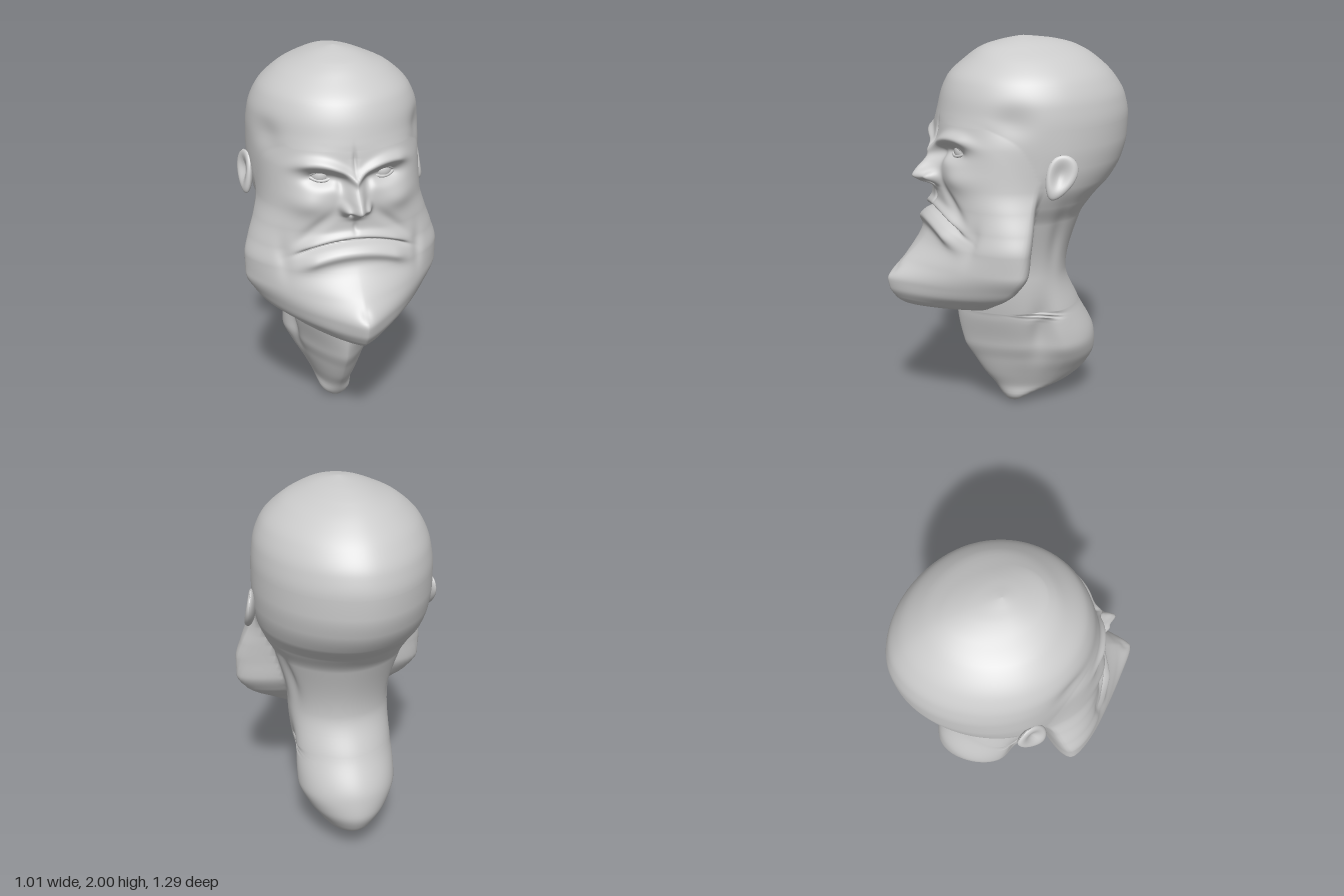
import * as THREE from 'three';

const material = new THREE.MeshStandardMaterial({ color: 0xcccccc });

// Smooth monotone interpolation through rows [y, a, b, ...]
function curve(rows, y) {
  let i = 0;
  while (i < rows.length - 2 && y > rows[i + 1][0]) i++;
  const slope = (n, k) => (rows[n + 1][k] - rows[n][k]) / (rows[n + 1][0] - rows[n][0]);
  const tangent = (n, k) => {
    if (n === 0 || n === rows.length - 1) return slope(Math.min(n, rows.length - 2), k);
    const a = slope(n - 1, k), b = slope(n, k);
    return a * b <= 0 ? 0 : (2 * a * b) / (a + b);
  };
  const h = rows[i + 1][0] - rows[i][0];
  const t = THREE.MathUtils.clamp((y - rows[i][0]) / h, 0, 1), t2 = t * t, t3 = t2 * t;
  return rows[i].slice(1).map((v, k) =>
    v * (2 * t3 - 3 * t2 + 1) + rows[i + 1][k + 1] * (3 * t2 - 2 * t3) +
    h * (tangent(i, k + 1) * (t3 - 2 * t2 + t) + tangent(i + 1, k + 1) * (t3 - t2)));
}

// Cross-sections: y, front z, back z, half width, z of widest point
const skullAndNeck = [
  [0, -0.01, -0.05, 0.02, -0.03], [0.05, 0.03, -0.14, 0.08, -0.05],
  [0.12, 0.07, -0.36, 0.115, -0.18], [0.2, 0.13, -0.46, 0.16, -0.22],
  [0.3, 0.19, -0.5, 0.22, -0.24], [0.4, 0.245, -0.49, 0.26, -0.22],
  [0.6, 0.28, -0.39, 0.265, -0.13], [0.8, 0.28, -0.31, 0.265, -0.08],
  [1.1, 0.28, -0.385, 0.33, -0.08], [1.2, 0.28, -0.455, 0.38, -0.08],
  [1.3, 0.28, -0.555, 0.42, -0.1], [1.4, 0.3, -0.612, 0.437, -0.12],
  [1.5, 0.335, -0.636, 0.442, -0.13], [1.6, 0.362, -0.64, 0.44, -0.13],
  [1.7, 0.345, -0.62, 0.428, -0.12], [1.8, 0.305, -0.56, 0.388, -0.11],
  [1.9, 0.2, -0.45, 0.285, -0.1], [1.95, 0.13, -0.36, 0.18, -0.09],
  [1.98, 0.03, -0.25, 0.1, -0.08], [2, -0.07, -0.09, 0.01, -0.08],
];
const faceAndJaw = [
  [0.62, 0.27, 0.1, 0.12, 0.2], [0.64, 0.5, 0.15, 0.19, 0.22],
  [0.66, 0.565, 0.14, 0.25, 0.22], [0.7, 0.61, 0.12, 0.32, 0.2],
  [0.75, 0.63, 0.08, 0.4, 0.17], [0.8, 0.63, 0.04, 0.45, 0.14],
  [0.9, 0.555, -0.01, 0.505, 0.11], [1, 0.46, -0.02, 0.505, 0.1],
  [1.1, 0.405, -0.03, 0.48, 0.07], [1.2, 0.385, -0.04, 0.445, 0.04],
  [1.3, 0.385, -0.06, 0.42, 0], [1.5, 0.38, -0.2, 0.41, -0.05],
  [1.6, 0.362, -0.3, 0.4, -0.1], [1.8, 0.15, -0.3, 0.25, -0.1],
  [2, -0.079, -0.081, 0.001, -0.08],
];
// Point from which each ring is swept
const axis = [[0, -0.03], [0.1, -0.1], [0.3, -0.15], [0.55, -0.05], [0.62, 0.2], [0.7, 0.22],
  [0.8, 0.15], [0.9, 0.08], [1.2, 0], [1.4, -0.05], [1.6, -0.1], [2, -0.08]];

// Distance from the axis to a cross-section's edge along one direction
function reach([front, back, w, c], z0, sin, cos, frontPower, backPower) {
  let lo = 0, hi = 1;
  for (let i = 0; i < 24; i++) {
    const r = (lo + hi) / 2, z = z0 + r * cos - c;
    const e = z > 0 ? frontPower : backPower, d = z > 0 ? front - c : c - back;
    if (Math.abs(r * sin / w) ** e + Math.abs(z / d) ** e < 1) lo = r; else hi = r;
  }
  return lo;
}

const bell = (d, s) => Math.exp(-((d / s) ** 2));
const spot = (x, y, cx, cy, sx, sy) => bell(x - cx, sx) * bell(y - cy, sy);
const noseProfile = [[1.2, 0], [1.245, 0.004], [1.275, 0.025], [1.3, 0.085], [1.33, 0.125],
  [1.36, 0.108], [1.4, 0.068], [1.45, 0.026], [1.5, 0.008], [1.56, 0]];

// Forward relief of the face; x is mirrored
function faceRelief(x, y) {
  let d = 0;
  // nose, wings and nostrils
  d += curve(noseProfile, y)[0] * bell(x, 0.034 + 0.09 * Math.max(0, 1.45 - y));
  d += 0.045 * spot(x, y, 0.055, 1.325, 0.02, 0.026) - 0.04 * spot(x, y, 0.027, 1.296, 0.013, 0.012);
  // arched brows, frown crease and eye sockets
  const browY = 1.538 - 2.2 * (x - 0.19) ** 2;
  d += 0.026 * bell(y - browY, 0.027) * bell(Math.max(0, x - 0.22), 0.06);
  d -= 0.014 * spot(x, y, 0, 1.55, 0.009, 0.045);
  d -= 0.05 * spot(x, y, 0.155, 1.462, 0.085, 0.036);
  d -= 0.018 * spot(x, y, 0.065, 1.44, 0.025, 0.04);
  // cheekbones and the folds beside the mouth
  d += 0.025 * spot(x, y, 0.23, 1.34, 0.09, 0.06);
  const foldX = 0.09 + (1.32 - y) * 0.95;
  d -= 0.014 * bell(x - foldX, 0.04) * bell(y - 1.22, 0.08);
  d -= 0.015 * spot(x, y, 0.34, 1.05, 0.03, 0.09);
  // down-turned mouth: thin upper lip, crease and full lower lip
  const mouthY = 1.15 - 0.065 * (x / 0.27) ** 2, ends = bell(Math.max(0, x - 0.19), 0.08);
  d += ends * (0.02 * bell(y - mouthY - 0.025, 0.024) - 0.03 * bell(y - mouthY, 0.011)
    + 0.042 * bell(y - mouthY + 0.05, 0.038));
  d -= 0.01 * spot(x, y, 0, 1.22, 0.012, 0.03);
  // chin knob with its dimple
  d += 0.022 * spot(x, y, 0, 0.81, 0.1, 0.08) - 0.014 * spot(x, y, 0, 0.85, 0.025, 0.025);
  return d;
}

// Whole head and neck as one skin
function headGeometry() {
  const spans = [[0, 0.6, 34], [0.6, 0.7, 28], [0.7, 1, 30], [1, 1.6, 120], [1.6, 1.95, 24], [1.95, 2, 14]];
  const ys = [0];
  for (const [a, b, n] of spans) for (let i = 1; i <= n; i++) ys.push(a + (b - a) * i / n);
  const sides = 192, position = [], index = [];
  ys.forEach((y, row) => {
    const inner = curve(skullAndNeck, y), outer = curve(faceAndJaw, y), z0 = curve(axis, y)[0];
    // narrow throat and pointed chin, rounder towards the face
    const throatPower = 2 - 0.6 * bell(y - 0.38, 0.25);
    const jawPower = 1.25 + THREE.MathUtils.smoothstep(y, 0.78, 1.3);
    const blend = 0.03 + 0.06 * bell(y - 1, 0.2);
    const closed = row === 0 || row === ys.length - 1;
    for (let j = 0; j < sides; j++) {
      const u = (j / sides) * Math.PI * 2 - Math.PI, angle = u - 0.5 * Math.sin(u);
      const sin = Math.sin(angle), cos = Math.cos(angle);
      const a = reach(inner, z0, sin, cos, throatPower, 1.85);
      const b = y < 0.62 ? 0 : reach(outer, z0, sin, cos, jawPower, 2.1);
      const h = Math.max(blend - Math.abs(a - b), 0) / blend;
      const r = closed ? 0 : Math.max(a, b) + h * h * blend * 0.15;
      let x = r * sin, z = z0 + r * cos;
      // temple hollows and neck grooves
      x *= 1 - 0.05 * spot(z, y, 0.12, 1.63, 0.09, 0.07) - 0.15 * spot(z, y, -0.1, 0.48, 0.06, 0.17)
        - 0.07 * spot(z, y, -0.16, 1, 0.04, 0.15);
      if (cos > 0 && y > 0.66) z += faceRelief(Math.abs(x), y) * Math.min(1, cos * 2);
      position.push(x, y, z);
      if (row < ys.length - 1) {
        const p = row * sides + j, q = row * sides + (j + 1) % sides;
        index.push(p, q, p + sides, q, q + sides, p + sides);
      }
    }
  });
  const g = new THREE.BufferGeometry();
  g.setAttribute('position', new THREE.Float32BufferAttribute(position, 3));
  g.setIndex(index);
  g.computeVertexNormals();
  return g;
}

// Ear: flattened ball, hollowed on the outside and narrowed to the lobe
function earGeometry(s) {
  const g = new THREE.SphereGeometry(1, 40, 32), p = g.attributes.position;
  for (let i = 0; i < p.count; i++) {
    const x = p.getX(i), y = p.getY(i), z = p.getZ(i);
    const hollow = x * s > 0 ? 1.25 * bell(Math.hypot(y - 0.12, z - 0.05), 0.62) : 0;
    p.setXYZ(i, (x - s * hollow) * 0.034, y * 0.113, z * 0.083 * (0.85 + 0.25 * y));
  }
  g.computeVertexNormals();
  return g;
}

export function createModel() {
  const model = new THREE.Group();
  const add = (name, geometry, x, y, z) => {
    const mesh = new THREE.Mesh(geometry, material);
    mesh.name = name;
    mesh.position.set(x, y, z);
    model.add(mesh);
    return mesh;
  };
  add('headAndNeck', headGeometry(), 0, 0, 0);

  for (const s of [1, -1]) {
    const side = s > 0 ? 'left' : 'right';
    const ear = add(side + 'Ear', earGeometry(s), s * 0.46, 1.37, -0.098);
    ear.rotation.set(-0.42, s * -0.28, 0);

    add(side + 'Eye', new THREE.SphereGeometry(0.05, 24, 16), s * 0.153, 1.467, 0.282);
    // eyelids arching over and under the eye
    for (const [lid, lift] of [['UpperLid', 0.03], ['LowerLid', -0.02]]) {
      const path = new THREE.CatmullRomCurve3([-1, -0.5, 0, 0.5, 1].map((t) => new THREE.Vector3(
        s * (0.153 + t * 0.062), 1.466 + lift * (1 - t * t), 0.327 - 0.022 * t * t - 0.012 * t)));
      add(side + lid, new THREE.TubeGeometry(path, 20, 0.008, 8), 0, 0, 0);
    }
  }
  return model;
}
